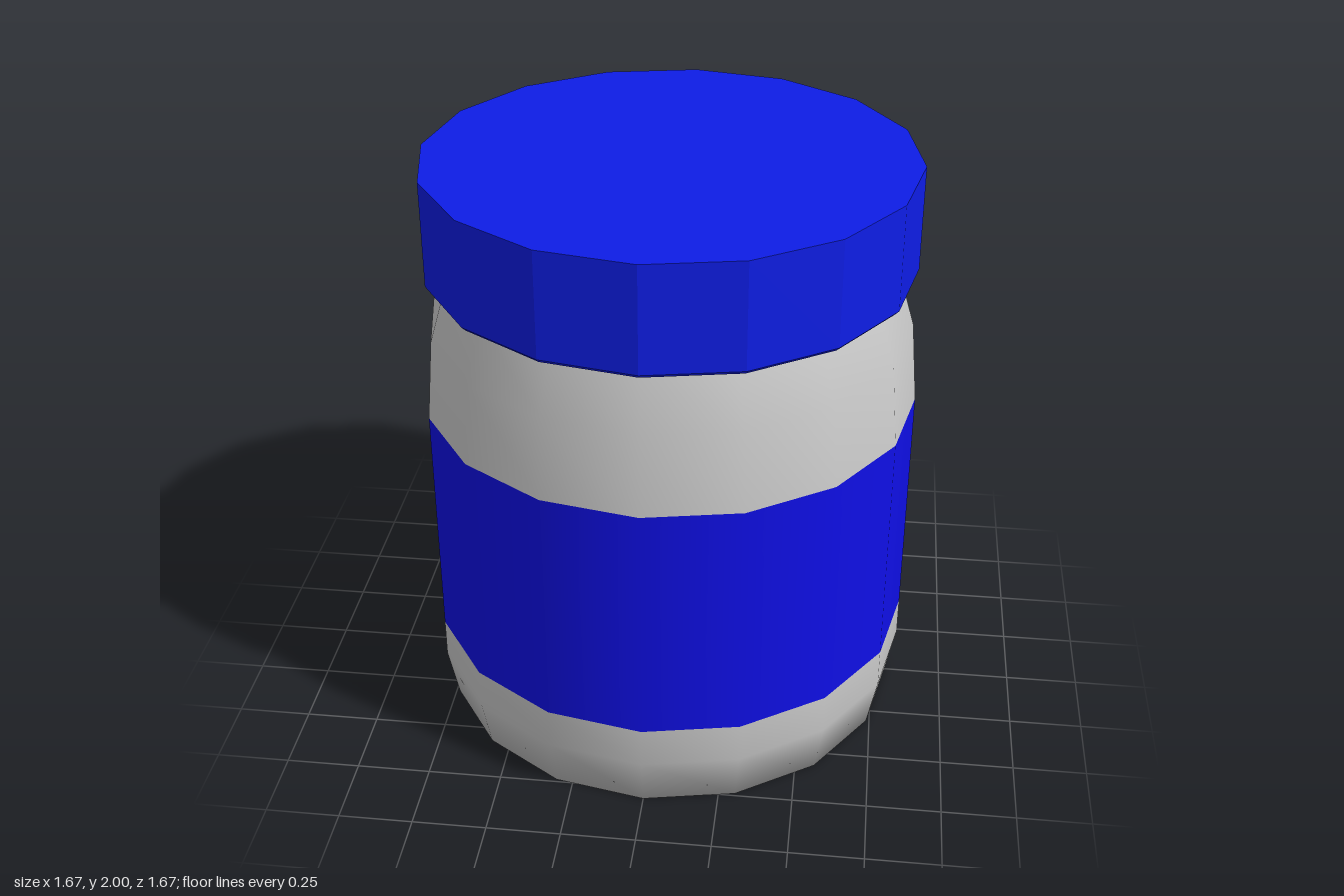
import * as THREE from 'three';

const SIDES = 16;

// Turns a [radius, height] profile (bottom to top) into a 16-sided part
function turned(name, profile, color, flatShading = false) {
  const points = profile.map(([r, y]) => new THREE.Vector2(r, y));
  const geometry = new THREE.LatheGeometry(points, SIDES);
  const material = new THREE.MeshStandardMaterial({ color, flatShading });
  const mesh = new THREE.Mesh(geometry, material);
  mesh.name = name;
  return mesh;
}

export function createModel() {
  const jar = new THREE.Group();
  jar.name = 'jar';

  // Closed base with a soft lower edge
  const base = turned('jarBase', [[0, 0], [0.8, 0], [0.835, 0.18], [0.835, 0.32]], 0xcccccc);

  // Wide coloured band around the body
  const label = turned('label', [[0.835, 0.32], [0.835, 1.16]], 0x0f0fe6);

  // Shoulder narrowing towards the neck, which ends inside the lid
  const shoulder = turned('shoulder', [[0.835, 1.16], [0.81, 1.44], [0.75, 1.64]], 0xcccccc);

  // The middle vertex at the back of the shoulder sits slightly further in
  const position = shoulder.geometry.attributes.position;
  position.setZ((SIDES / 2) * 3 + 1, -0.785);

  // Faceted lid with a small bevel at its lower rim
  const lid = turned('lid', [[0, 1.63], [0.803, 1.63], [0.815, 1.643], [0.815, 2], [0, 2]], 0x0e1de6, true);

  jar.add(base, label, shoulder, lid);
  return jar;
}
